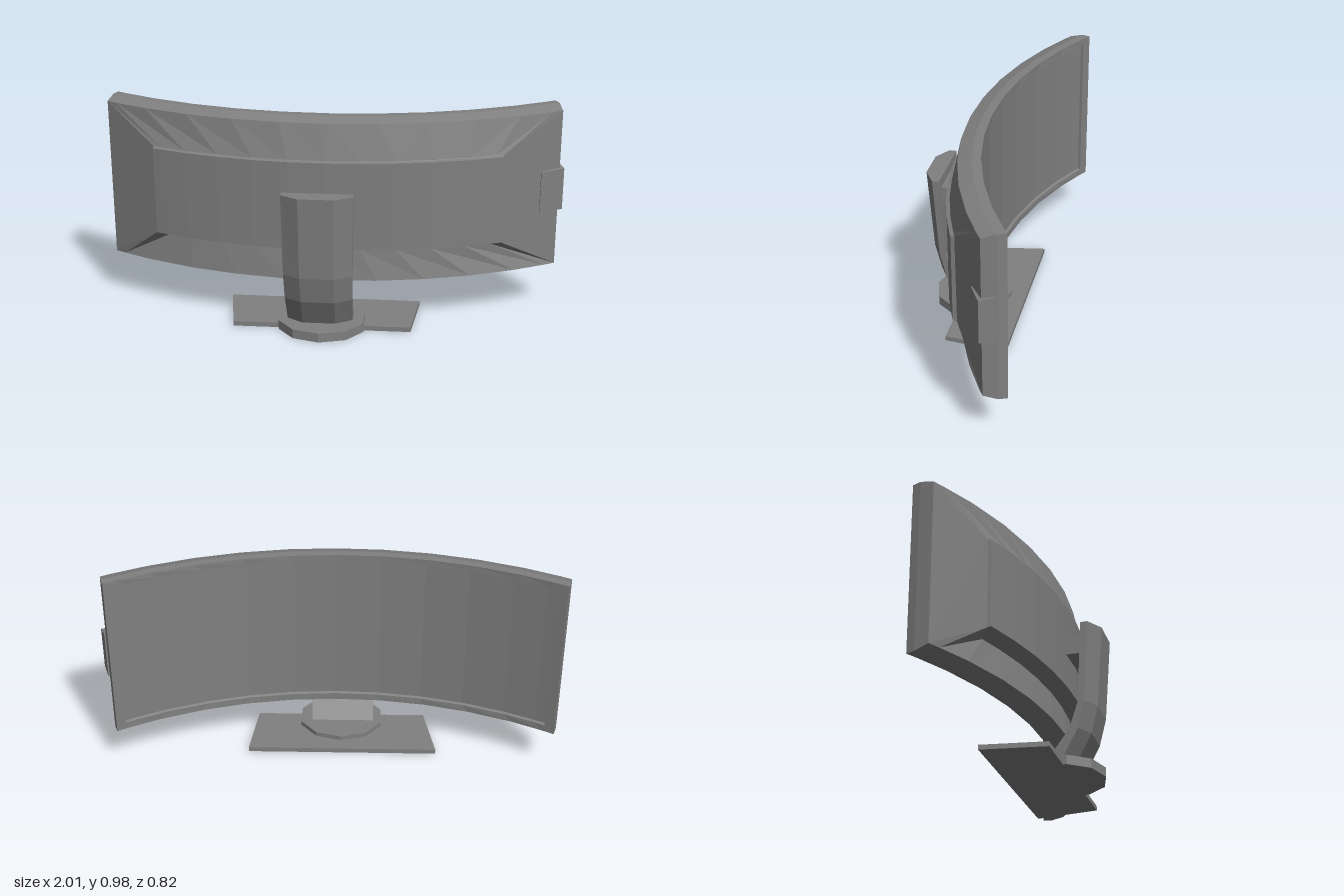
import * as THREE from 'three';

const rad = THREE.MathUtils.degToRad;
const material = new THREE.MeshStandardMaterial({ color: 0x808080, flatShading: true });

function mesh(name, geometry) {
  const m = new THREE.Mesh(geometry, material);
  m.name = name;
  return m;
}

// Skin a list of equal-length loops and close both ends.
// Each loop is a top row followed by the bottom row in reverse.
function loft(loops) {
  const n = loops[0].length, index = [];
  const quad = (a, b, c, d) => index.push(a, b, c, a, c, d);
  for (let r = 0; r < loops.length - 1; r++) {
    for (let i = 0; i < n; i++) {
      const a = r * n + i, b = r * n + (i + 1) % n;
      quad(a, a + n, b + n, b);
    }
  }
  const last = (loops.length - 1) * n;
  for (let i = 0; i < n / 2 - 1; i++) {
    const j = n - 1 - i;
    quad(i, i + 1, j - 1, j);
    quad(last + i, last + j, last + j - 1, last + i + 1);
  }
  let g = new THREE.BufferGeometry();
  g.setAttribute('position', new THREE.Float32BufferAttribute(loops.flat(2), 3));
  g.setIndex(index);
  g = g.toNonIndexed();
  g.computeVertexNormals();
  return g;
}

// Upright prism from a floor plan of [x, z] corners
function prism(plan, y0, y1) {
  const shape = new THREE.Shape(plan.map(([x, z]) => new THREE.Vector2(x, z)));
  const g = new THREE.ExtrudeGeometry(shape, { depth: y1 - y0, bevelEnabled: false });
  return g.rotateX(Math.PI / 2).translate(0, y1, 0);
}

// Curved display: concentric arcs, each loop with its own depth, height and sweep
function curvedDisplay() {
  const R = 1.92, centreX = -0.03, centreZ = 0.121 - R;
  const columns = [-1, -0.95, -0.8, -0.6, -0.4, -0.2, 0, 0.2, 0.4, 0.6, 0.8, 0.95, 1];
  const row = (depth, y, sweep, shift = 0) => columns.map((f) => {
    const a = rad(sweep * f + shift);
    return [centreX + (R + depth) * Math.sin(a), y, centreZ + (R + depth) * Math.cos(a)];
  });
  // [top depth, top y, bottom depth, bottom y, half sweep and shift in degrees]
  const sections = [
    [0.012, 0.942, 0.012, 0.242, 29.9], // recessed screen
    [0, 0.946, 0, 0.237, 30.0],         // bezel
    [0, 0.975, 0, 0.205, 31.4],
    [0.04, 0.975, 0.04, 0.205, 31.2],   // rim
    [0.1, 0.957, 0.1, 0.223, 30.6],
    [0.134, 0.799, 0.132, 0.383, 22.4, -0.4], // sloped shell
    [0.135, 0.797, 0.133, 0.385, 22.3, -0.4], // rear panel
    [0.15, 0.793, 0.15, 0.39, 22.1, -0.4],
  ];
  const loops = sections.map(([dt, yt, db, yb, s, shift]) =>
    [...row(dt, yt, s, shift), ...row(db, yb, s, shift).reverse()]);
  // Hollow under the rear panel, leaving the corner edges in place
  const hollow = row(0.082, 0.365, 22.4, -0.4).reverse();
  const n = columns.length;
  for (let i = 1; i < n - 1; i++) loops[5][n + i] = hollow[i];
  return loft(loops);
}

// Bent neck: faceted front and flat back, swept down to the base
function neck() {
  // [y, front z, side z, back z, half width]
  const levels = [
    [0.04, 0.29, 0.245, 0.177, 0.147],
    [0.175, 0.361, 0.319, 0.28, 0.15],
    [0.3, 0.392, 0.349, 0.322, 0.153],
    [0.68, 0.42, 0.373, 0.341, 0.157],
  ];
  const cx = -0.062;
  return loft(levels.map(([y, f, s, b, h]) => [
    [cx - h, y, b], [cx - h / 3, y, b], [cx + h / 3, y, b], [cx + h, y, b],
    [cx + h, y, s], [cx + h / 2, y, f], [cx - h / 2, y, f], [cx - h, y, s],
  ]));
}

export function createModel() {
  const model = new THREE.Group();
  model.name = 'curvedMonitor';

  const display = mesh('curvedDisplay', curvedDisplay());
  display.rotation.y = rad(-14.3);
  model.add(display);

  // Clip wrapped around the display's edge, taller toward the screen
  const clip = prism([[0.96, 0.13], [0.992, 0.13], [1.0, 0.2], [0.885, 0.225], [0.885, 0.16]], -1, 1);
  const p = clip.attributes.position;
  for (let i = 0; i < p.count; i++) {
    const half = 0.111 - (p.getZ(i) - 0.13) * 0.19;
    p.setY(i, 0.59 + Math.sign(p.getY(i)) * half);
  }
  clip.computeVertexNormals();
  model.add(mesh('sideClip', clip));

  // Stand
  const stand = new THREE.Group();
  stand.name = 'stand';
  stand.rotation.y = rad(-15);
  stand.add(mesh('basePlate', prism([[-0.505, -0.03], [0.38, -0.03], [0.348, 0.26], [-0.457, 0.26]], 0, 0.022)));

  const disc = mesh('baseDisc', new THREE.CylinderGeometry(1, 1, 0.043, 10));
  disc.scale.set(0.202, 1, 0.181);
  disc.position.set(-0.055, 0.0215, 0.22);
  stand.add(disc);

  stand.add(mesh('neck', neck()));

  const mount = mesh('mountBlock', new THREE.BoxGeometry(0.25, 0.09, 0.13));
  mount.position.set(-0.062, 0.59, 0.283);
  stand.add(mount);

  model.add(stand);
  return model;
}
